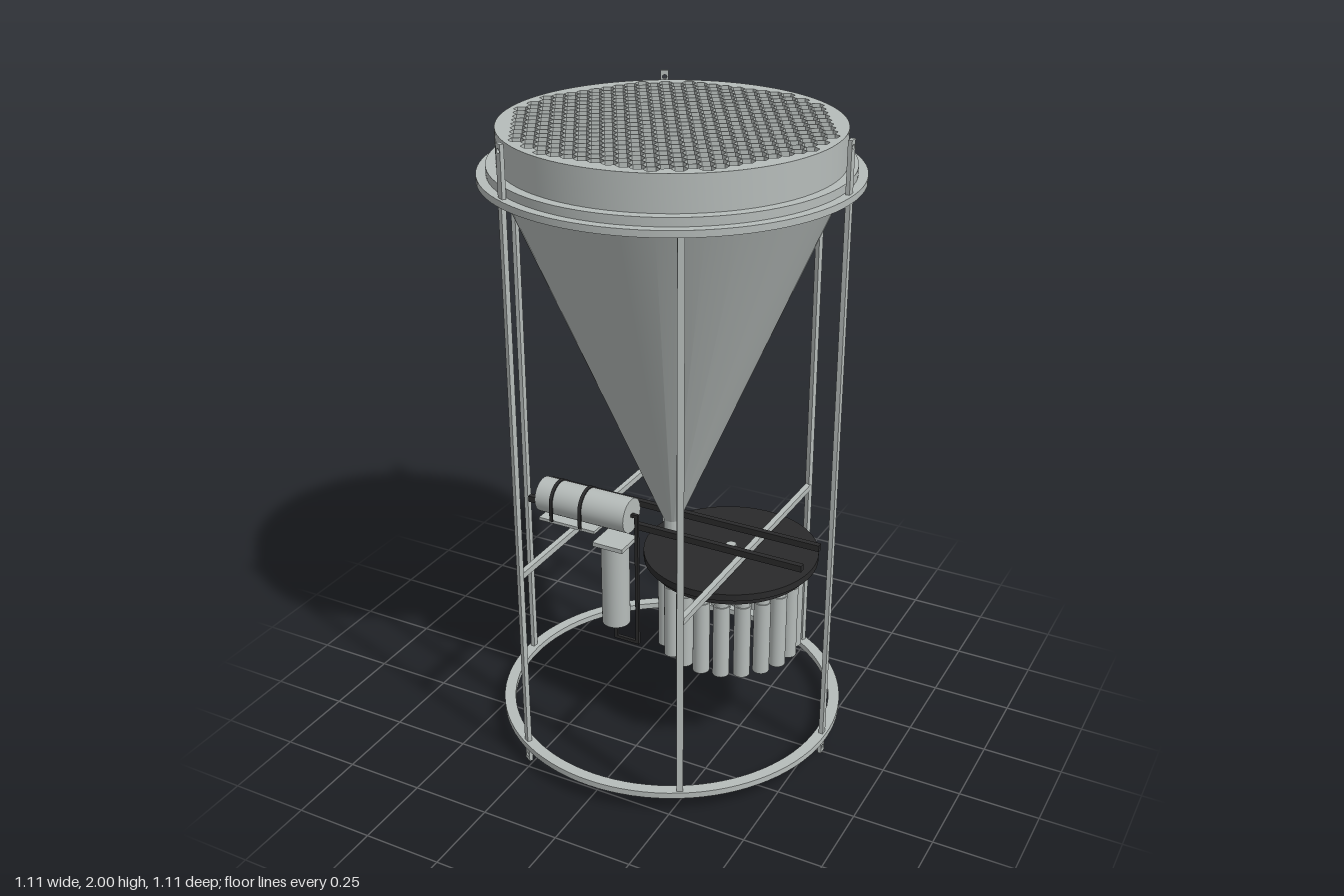
import * as THREE from 'three';
import { toCreasedNormals } from 'three/addons/utils/BufferGeometryUtils.js';

const metal = new THREE.MeshStandardMaterial({ color: 0xb6bcba, side: THREE.DoubleSide });
metal.name = 'light grey metal';
const dark = new THREE.MeshStandardMaterial({ color: 0x2a2a2b });
dark.name = 'black plastic';

export function createModel() {
  const model = new THREE.Group();

  const add = (name, geo, mat, x = 0, y = 0, z = 0, parent = model) => {
    const mesh = new THREE.Mesh(geo, mat);
    mesh.name = name;
    mesh.position.set(x, y, z);
    parent.add(mesh);
    return mesh;
  };
  const cyl = (name, r, y0, y1, mat, x = 0, z = 0, parent = model, seg = 24) =>
    add(name, new THREE.CylinderGeometry(r, r, y1 - y0, seg), mat, x, (y0 + y1) / 2, z, parent);
  const box = (name, w, h, d, mat, x, y, z, parent) =>
    add(name, new THREE.BoxGeometry(w, h, d), mat, x, y, z, parent);
  const lathe = (name, pts) => add(name, toCreasedNormals(
    new THREE.LatheGeometry(pts.map(p => new THREE.Vector2(...p)), 96), 0.35), metal);
  const ring = (name, r0, r1, y0, y1) =>
    lathe(name, [[r0, y0], [r1, y0], [r1, y1], [r0, y1], [r0, y0]]);

  // Funnel with its outlet, collar and flanges
  lathe('funnel', [[0.026, 0.662], [0.026, 0.715], [0.495, 1.83], [0.495, 1.98]]);
  cyl('outletFloor', 0.025, 0.662, 0.668, metal);
  ring('upperFlange', 0.495, 0.525, 1.85, 1.875);
  ring('topRing', 0.495, 0.553, 1.83, 1.85);
  ring('bottomRing', 0.517, 0.553, 0.055, 0.075);

  // Honeycomb baffle in the funnel mouth
  const plate = new THREE.Shape().absarc(0, 0, 0.4945, 0, Math.PI * 2);
  const pitch = 0.0411, rowStep = pitch * Math.sqrt(3) / 2, cellR = pitch / Math.sqrt(3) - 0.0014;
  for (let row = -12; row <= 12; row++) {
    for (let col = -12; col <= 12; col++) {
      const cx = (col + (row % 2 ? 0.5 : 0)) * pitch, cy = row * rowStep;
      if (Math.hypot(cx, cy) > 0.461) continue;
      const pts = [];
      for (let k = 0; k < 6; k++) {
        const a = Math.PI / 6 - k * Math.PI / 3;
        pts.push(new THREE.Vector2(cx + cellR * Math.cos(a), cy + cellR * Math.sin(a)));
      }
      plate.holes.push(new THREE.Path(pts));
    }
  }
  const comb = new THREE.ExtrudeGeometry(plate, { depth: 0.06, bevelEnabled: false, curveSegments: 96 });
  comb.rotateX(-Math.PI / 2);
  add('honeycombBaffle', comb, metal, 0, 1.92, 0);

  // Drilled lug, hole near the top end
  const lug = h => {
    const w = 0.0125;
    const s = new THREE.Shape([[-w, 0], [w, 0], [w, h], [-w, h]].map(p => new THREE.Vector2(...p)));
    s.holes.push(new THREE.Path().absarc(0, h - 0.02, 0.007, 0, Math.PI * 2, true));
    return new THREE.ExtrudeGeometry(s, { depth: 0.012, bevelEnabled: false }).translate(0, 0, -0.006);
  };

  // Six posts, every second one carrying a lifting lug and a foot
  for (let i = 0; i < 6; i++) {
    const post = new THREE.Group();
    post.name = 'post' + (i + 1);
    post.rotation.y = Math.PI / 2 + i * Math.PI / 3;
    model.add(post);
    box('postBar', 0.02, 1.76, 0.014, metal, 0, 0.95, 0.538, post);
    if (i % 2 === 0) {
      add('liftingLug', lug(0.15), metal, 0, 1.85, 0.537, post);
      add('foot', lug(0.056), metal, 0, 0.056, 0.537, post).rotation.z = Math.PI;
    }
  }

  // Cross bars and the dark rails lying on them
  for (const s of [-1, 1]) {
    box('crossBar', 0.018, 0.02, 0.93, metal, s * 0.27, 0.676, 0);
    box('rail', 0.96, 0.021, 0.018, dark, -0.005, 0.699, s * 0.068);
  }

  // Rotating carousel of sample bottles
  const carousel = new THREE.Group();
  carousel.name = 'carousel';
  carousel.position.x = 0.207;
  model.add(carousel);
  cyl('carouselTopPlate', 0.272, 0.638, 0.66, dark, 0, 0, carousel, 64);
  cyl('carouselLowerPlate', 0.25, 0.613, 0.638, dark, 0, 0, carousel, 64);
  cyl('axle', 0.016, 0.66, 0.677, metal, 0, 0, carousel);
  const bottles = 20;
  for (let i = 0; i < bottles; i++) {
    const a = i / bottles * Math.PI * 2, x = 0.203 * Math.cos(a), z = 0.203 * Math.sin(a);
    cyl('bottle', 0.026, 0.335, 0.582, metal, x, z, carousel);
    cyl('bottleNeck', 0.0225, 0.582, 0.614, metal, x, z, carousel);
  }

  // Horizontal housing with straps on its mounting plate
  const tz = 0.145, ty = 0.778;
  const housing = add('housing', new THREE.CylinderGeometry(0.056, 0.056, 0.315, 40), metal, -0.222, ty, tz);
  housing.rotation.z = Math.PI / 2;
  box('mountingPlate', 0.2, 0.01, 0.16, metal, -0.268, 0.716, 0.118);
  const strapShape = new THREE.Shape().absarc(0, 0, 0.06, 0, Math.PI);
  strapShape.lineTo(-0.06, -0.058).lineTo(-0.055, -0.058).lineTo(-0.055, 0);
  strapShape.absarc(0, 0, 0.055, Math.PI, 0, true);
  strapShape.lineTo(0.055, -0.058).lineTo(0.06, -0.058);
  for (const x of [-0.32, -0.217]) {
    const strap = new THREE.ExtrudeGeometry(strapShape, { depth: 0.011, bevelEnabled: false, curveSegments: 24 });
    strap.translate(0, 0, -0.0055).rotateY(Math.PI / 2);
    add('strap', strap, dark, x, ty, tz);
  }

  // Vertical motor housing and its cable
  cyl('motor', 0.045, 0.38, 0.665, metal, -0.125, tz, model, 32);
  box('motorBracket', 0.105, 0.014, 0.1, metal, -0.125, 0.672, tz);
  const cable = [[-0.125, 0.38], [-0.125, 0.322], [-0.047, 0.322], [-0.047, 0.78], [-0.07, 0.78]];
  for (let i = 0; i < 4; i++) {
    const [x0, y0] = cable[i], [x1, y1] = cable[i + 1], t = 0.011;
    box('cable', Math.abs(x1 - x0) + t, Math.abs(y1 - y0) + t, t, dark, (x0 + x1) / 2, (y0 + y1) / 2, tz);
  }
  return model;
}
